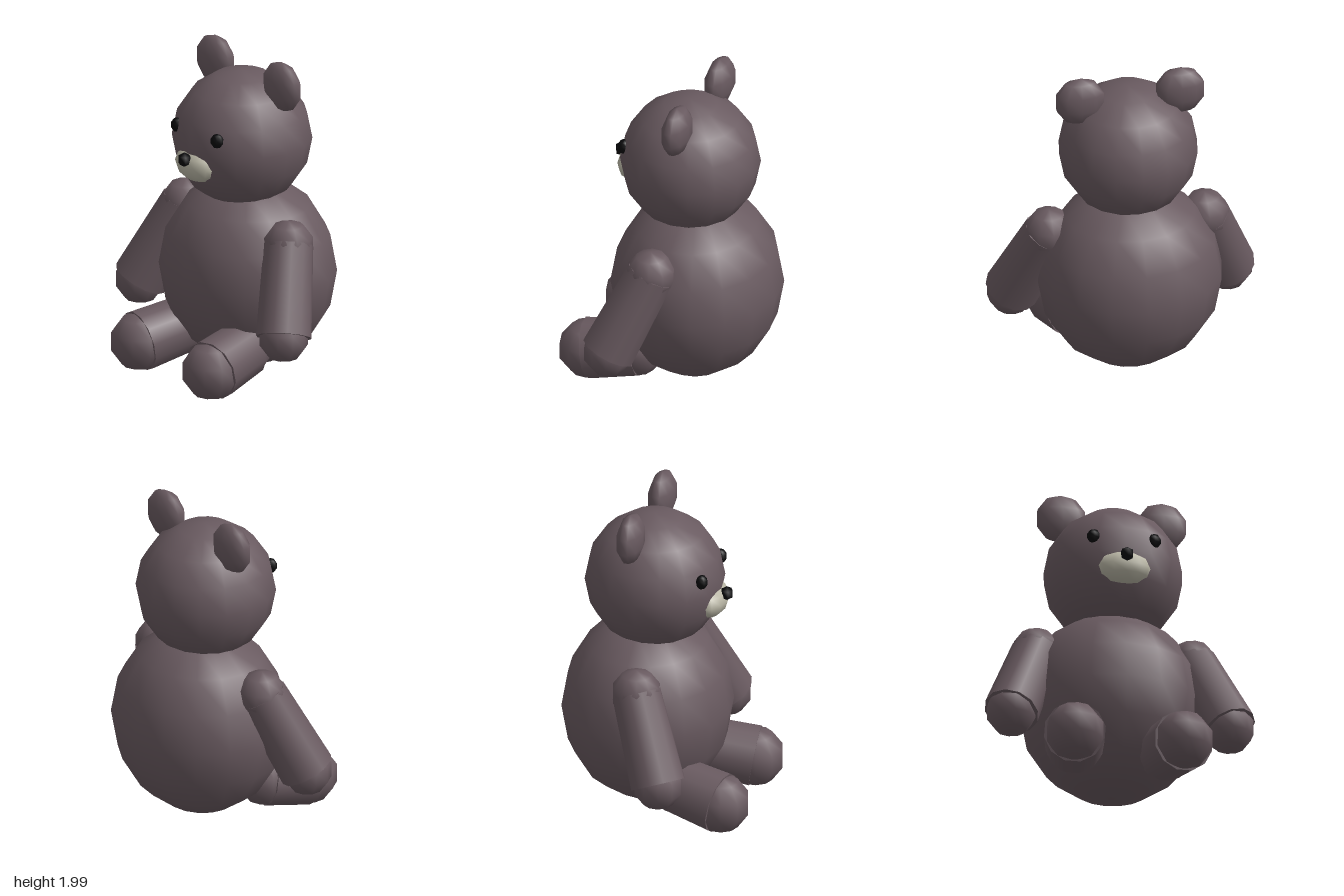
import * as THREE from 'three';

const mat = (name, color) => {
  const m = new THREE.MeshStandardMaterial({ color });
  m.name = name;
  return m;
};

export function createModel() {
  const fur = mat('fur', 0x695a60);
  const cream = mat('cream', 0xbab7a6);
  const black = mat('black', 0x08080a);
  const bear = new THREE.Group();
  bear.name = 'teddyBear';

  // Ellipsoid with a vertex column facing the front
  function ball(name, material, [x, y, z], [rx, ry, rz], w = 10, h = 5) {
    const geo = new THREE.SphereGeometry(1, w, h).rotateY(Math.PI / 2);
    const mesh = new THREE.Mesh(geo, material);
    mesh.name = name;
    mesh.position.set(x, y, z);
    mesh.scale.set(rx, ry, rz);
    bear.add(mesh);
  }

  // Tapered limb between two joints, with a ball at each end
  function limb(names, a, b, ballA, ballB, tubeA, tubeB) {
    const from = new THREE.Vector3(...a), to = new THREE.Vector3(...b);
    const dir = to.clone().sub(from);
    const geo = new THREE.CylinderGeometry(tubeB, tubeA, dir.length(), 12);
    const mesh = new THREE.Mesh(geo, fur);
    mesh.name = names[1];
    mesh.position.copy(from).add(to).multiplyScalar(0.5);
    mesh.quaternion.setFromUnitVectors(new THREE.Vector3(0, 1, 0), dir.normalize());
    bear.add(mesh);
    ball(names[0], fur, a, [ballA, ballA, ballA]);
    ball(names[2], fur, b, [ballB, ballB, ballB]);
  }

  // Body and head
  ball('body', fur, [0, 0.62, -0.115], [0.56, 0.59, 0.51], 16, 8);
  ball('head', fur, [0, 1.46, -0.07], [0.42, 0.42, 0.42], 16, 8);

  // Face
  ball('muzzle', cream, [0, 1.365, 0.28], [0.165, 0.105, 0.105], 12, 6);
  ball('nose', black, [0, 1.415, 0.38], [0.044, 0.046, 0.042], 6, 3);

  // Paired parts
  for (const [side, s] of [['left', 1], ['right', -1]]) {
    ball(side + 'Eye', black, [s * 0.183, 1.56, 0.28], [0.042, 0.045, 0.04], 8, 5);
    ball(side + 'Ear', fur, [s * 0.305, 1.845, -0.122], [0.157, 0.155, 0.08]);
    limb([side + 'Shoulder', side + 'Arm', side + 'Hand'],
      [s * 0.475, 0.91, -0.03], [s * 0.66, 0.423, 0.165], 0.153, 0.153, 0.149, 0.167);
    limb([side + 'Hip', side + 'Leg', side + 'Foot'],
      [s * 0.275, 0.24, 0.15], [s * 0.33, 0.187, 0.45], 0.172, 0.18, 0.175, 0.187);
  }
  return bear;
}
